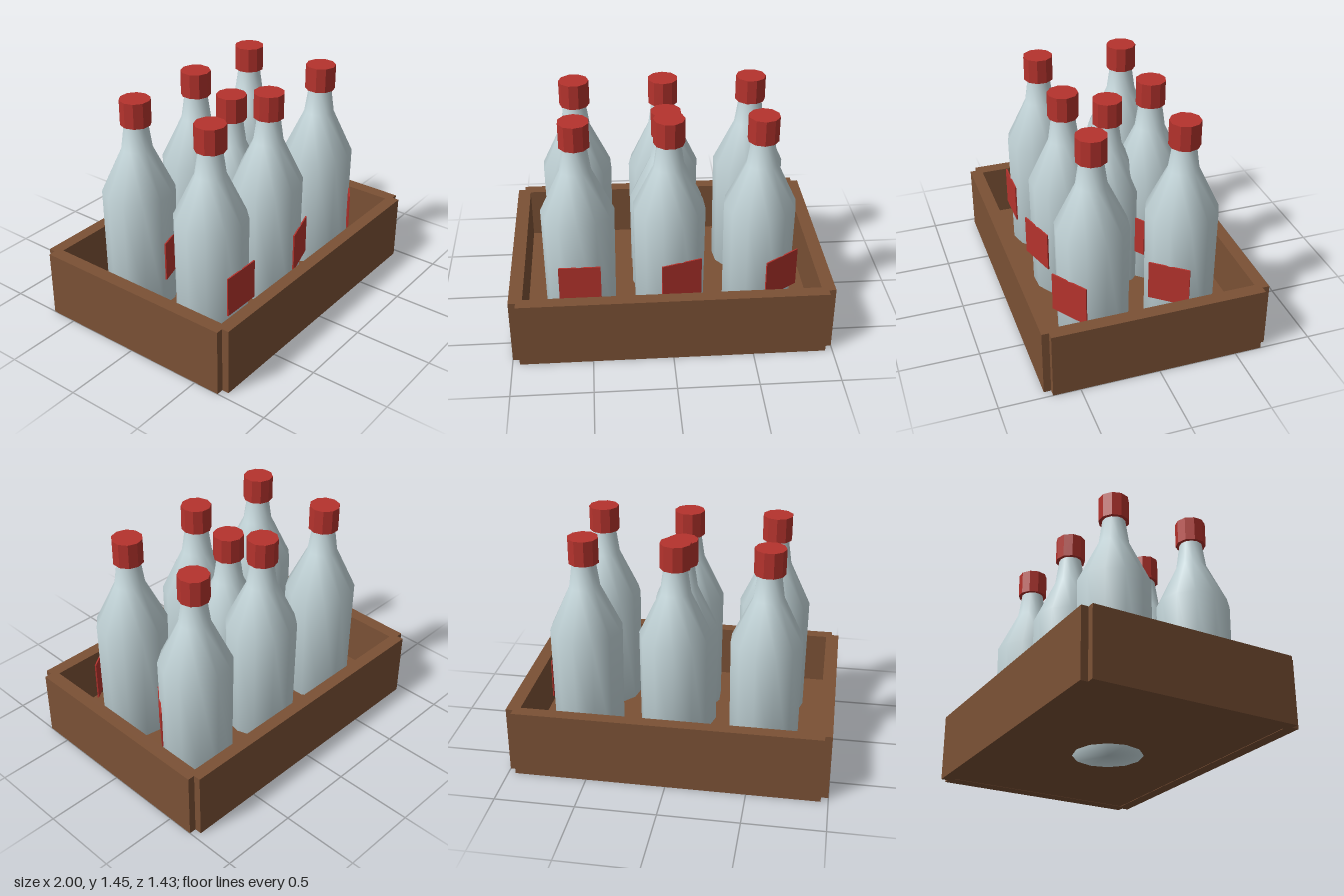
import * as THREE from 'three';

const wood = new THREE.MeshStandardMaterial({ color: 0x7b5135 });
wood.name = 'brown wood';
const glass = new THREE.MeshStandardMaterial({ color: 0xc6d8dc });
glass.name = 'pale glass';
const red = new THREE.MeshStandardMaterial({ color: 0xb5332d });
red.name = 'red';

const CRATE_H = 0.435;
const FLOOR_TOP = 0.09;

function add(parent, name, geometry, material, x, y, z) {
  const mesh = new THREE.Mesh(geometry, material);
  mesh.name = name;
  mesh.position.set(x, y, z);
  parent.add(mesh);
  return mesh;
}

// Open crate: floor plus four boards that leave a small notch at each corner
function makeCrate() {
  const crate = new THREE.Group();
  crate.name = 'crate';
  const long = new THREE.BoxGeometry(1.91, CRATE_H, 0.08);
  const short = new THREE.BoxGeometry(0.085, CRATE_H, 1.34);
  const floorH = FLOOR_TOP - 0.003;
  add(crate, 'floor', new THREE.BoxGeometry(1.9, floorH, 1.34), wood, 0, 0.003 + floorH / 2, 0);
  add(crate, 'frontBoard', long, wood, 0, CRATE_H / 2, 0.675);
  add(crate, 'backBoard', long, wood, 0, CRATE_H / 2, -0.675);
  add(crate, 'leftBoard', short, wood, 0.9575, CRATE_H / 2, 0);
  add(crate, 'rightBoard', short, wood, -0.9575, CRATE_H / 2, 0);
  return crate;
}

// Bottle profile from the base centre up into the cap
const profile = [[0, 0], [0.221, 0], [0.2275, 0.76], [0.096, 1.04], [0.073, 1.2], [0.07, 1.24]]
  .map(([r, y]) => new THREE.Vector2(r, y));
const bodyGeometry = new THREE.LatheGeometry(profile, 12);
const capGeometry = new THREE.CylinderGeometry(0.096, 0.096, 0.16, 10);
capGeometry.deleteAttribute('normal');
const facetedCap = capGeometry.toNonIndexed();
facetedCap.computeVertexNormals();
const labelGeometry = new THREE.BoxGeometry(0.26, 0.26, 0.009);

function makeBottle(name, x, y, z, turn, hasLabel) {
  const bottle = new THREE.Group();
  bottle.name = name;
  add(bottle, 'bottleBody', bodyGeometry, glass, 0, 0, 0);
  add(bottle, 'cap', facetedCap, red, 0, 1.28, 0);
  if (hasLabel) add(bottle, 'label', labelGeometry, red, 0, 0.345, 0.2225);
  bottle.position.set(x, y, z);
  bottle.rotation.y = turn;
  return bottle;
}

export function createModel() {
  const model = new THREE.Group();
  model.name = 'bottleCrate';
  model.add(makeCrate());

  // Two rows of three, each bottle turned a little further than the last
  for (let row = 0; row < 2; row++) {
    for (let col = 0; col < 3; col++) {
      const z = row === 0 ? 0.285 : -0.285;
      model.add(makeBottle('bottle', (col - 1) * 0.565, FLOOR_TOP, z, (row + col) * 0.3, true));
    }
  }

  // Middle bottle sits lower, down to the underside of the crate
  model.add(makeBottle('middleBottle', 0, 0, 0, 0, false));
  return model;
}
